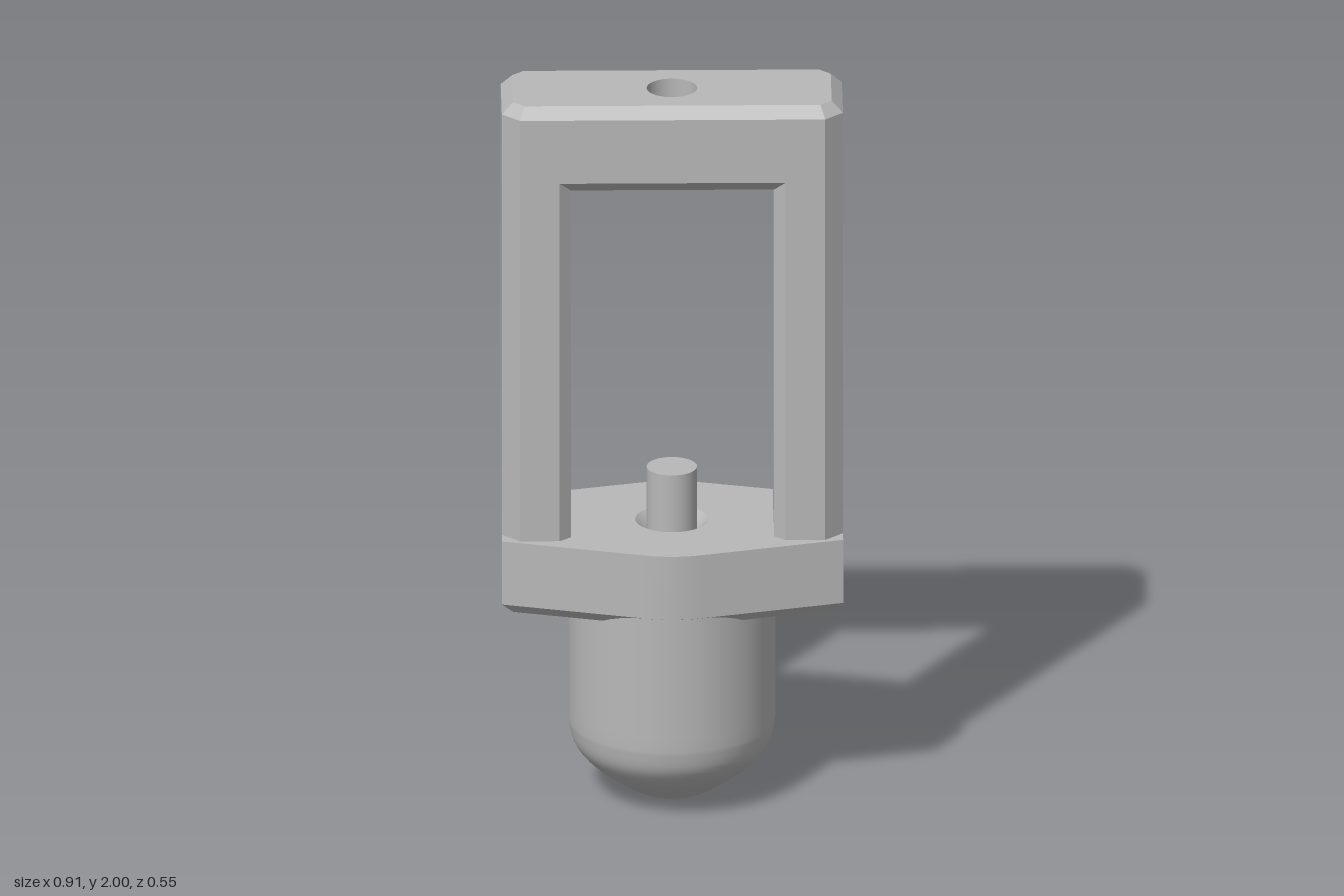
import * as THREE from 'three';
import { toCreasedNormals } from 'three/addons/utils/BufferGeometryUtils.js';

const V = (x, z) => new THREE.Vector2(x, z);
const CHAMFER = 0.03, BODY_R = 0.275, PIN_R = 0.067;

// Shrinks an outline by d; outlines run from +x towards +z
function inset(pts, d) {
  const n = pts.length;
  const normal = (a, b) => V(a.y - b.y, b.x - a.x).normalize();
  return pts.map((p, i) => {
    const n1 = normal(pts[(i + n - 1) % n], p), n2 = normal(p, pts[(i + 1) % n]);
    return p.clone().addScaledVector(n1.clone().add(n2), d / (1 + n1.dot(n2)));
  });
}

function circle(r, n = 48) {
  return Array.from({ length: n }, (_, i) => V(r * Math.cos(i / n * 2 * Math.PI), r * Math.sin(i / n * 2 * Math.PI)));
}

// Joins [y, outline] levels; a cap is null (open), 0 (solid) or the radius of a round hole
function loft(levels, bottomHole = null, topHole = null) {
  const pos = [];
  const put = (p, y) => pos.push(p.x, y, p.y);
  for (let k = 0; k + 1 < levels.length; k++) {
    const [y0, a] = levels[k], [y1, b] = levels[k + 1];
    a.forEach((p, i) => {
      const j = (i + 1) % a.length;
      put(p, y0); put(b[i], y1); put(a[j], y0);
      put(a[j], y0); put(b[i], y1); put(b[j], y1);
    });
  }
  const cap = ([y, outline], r, up) => {
    if (r === null) return;
    const holes = r > 0 ? [circle(r).reverse()] : [];
    const all = [outline, ...holes].flat();
    for (const [i, j, k] of THREE.ShapeUtils.triangulateShape(outline.slice(), holes)) {
      const ccw = THREE.ShapeUtils.area([all[i], all[j], all[k]]) > 0;
      (ccw !== up ? [i, j, k] : [i, k, j]).forEach(q => put(all[q], y));
    }
  };
  cap(levels[0], bottomHole, false);
  cap(levels[levels.length - 1], topHole, true);
  const g = new THREE.BufferGeometry();
  g.setAttribute('position', new THREE.Float32BufferAttribute(pos, 3));
  return toCreasedNormals(g, 0.5);
}

const lathe = pts => new THREE.LatheGeometry(pts.map(p => V(...p)), 48);
const rect = (x, z) => [V(x, -z), V(x, z), V(-x, z), V(-x, -z)];

// Flange outline: end corners joined by tangents to the round body
function flangeOutline() {
  const tangent = c => Math.atan2(Math.abs(c.y), c.x) + Math.acos(BODY_R / c.length());
  const arc = (from, to) => Array.from({ length: 13 }, (_, i) => {
    const t = from + (to - from) * i / 12;
    return V(BODY_R * Math.cos(t), BODY_R * Math.sin(t));
  });
  const front = V(0.453, 0.158), back = V(0.405, -0.175);
  const f = tangent(front), b = tangent(back);
  return [
    V(0.453, -0.11), front, ...arc(f, Math.PI - f),
    V(-0.453, 0.158), V(-0.453, -0.11), V(-0.405, -0.175), ...arc(Math.PI + b, 2 * Math.PI - b), back,
  ];
}

export function createModel() {
  const model = new THREE.Group();
  const grey = new THREE.MeshStandardMaterial({ color: 0xb8b8b8 });
  grey.name = 'grey';
  const add = (name, geometry) => {
    const mesh = new THREE.Mesh(geometry, grey);
    mesh.name = name;
    model.add(mesh);
  };

  // Round body with a blunt nose
  const nose = new THREE.SplineCurve([
    V(0.05, 0.002), V(0.09, 0.007), V(0.13, 0.028), V(0.175, 0.06), V(0.225, 0.1), V(0.262, 0.15), V(BODY_R, 0.21),
  ]).getPoints(24).map(p => [p.x, p.y]);
  add('body', lathe([[0, 0], ...nose, [BODY_R, 0.25], [BODY_R, 0.59]]));

  // Flange with chamfered underside and a countersunk pin seat
  const flange = flangeOutline();
  add('flange', loft([[0.56, inset(flange, CHAMFER)], [0.59, flange], [0.77, flange]], 0, PIN_R + CHAMFER));
  add('countersink', lathe([[PIN_R + CHAMFER, 0.77], [PIN_R, 0.74]]));

  // Pin
  const pin = new THREE.CylinderGeometry(PIN_R, PIN_R, 0.18, 48);
  pin.translate(0, 0.83, 0);
  add('pin', pin);

  // Side posts with chamfered edges
  const half = [V(0.27, 0.13), V(0.27, -0.13), V(0.3, -0.158), V(0.405, -0.158),
    V(0.453, -0.11), V(0.453, 0.11), V(0.405, 0.158), V(0.3, 0.158)];
  const mirrored = half.map(p => V(-p.x, p.y)).reverse();
  add('leftPost', loft([[0.77, half], [1.79, half]]));
  add('rightPost', loft([[0.77, mirrored], [1.79, mirrored]]));

  // Crossbar: chamfered top, chamfered lower lip and a through hole
  const bar = [V(0.453, -0.11), V(0.453, 0.11), V(0.405, 0.158), V(-0.405, 0.158),
    V(-0.453, 0.11), V(-0.453, -0.11), V(-0.405, -0.158), V(0.405, -0.158)];
  add('crossbar', loft([[1.79, bar], [1.97, bar], [2, inset(bar, CHAMFER)]], null, PIN_R));
  add('crossbarLip', loft([[1.76, rect(0.3, 0.13)], [1.79, rect(0.3, 0.158)]], PIN_R));
  add('crossbarHole', lathe([[PIN_R, 2], [PIN_R, 1.76]]));

  return model;
}
